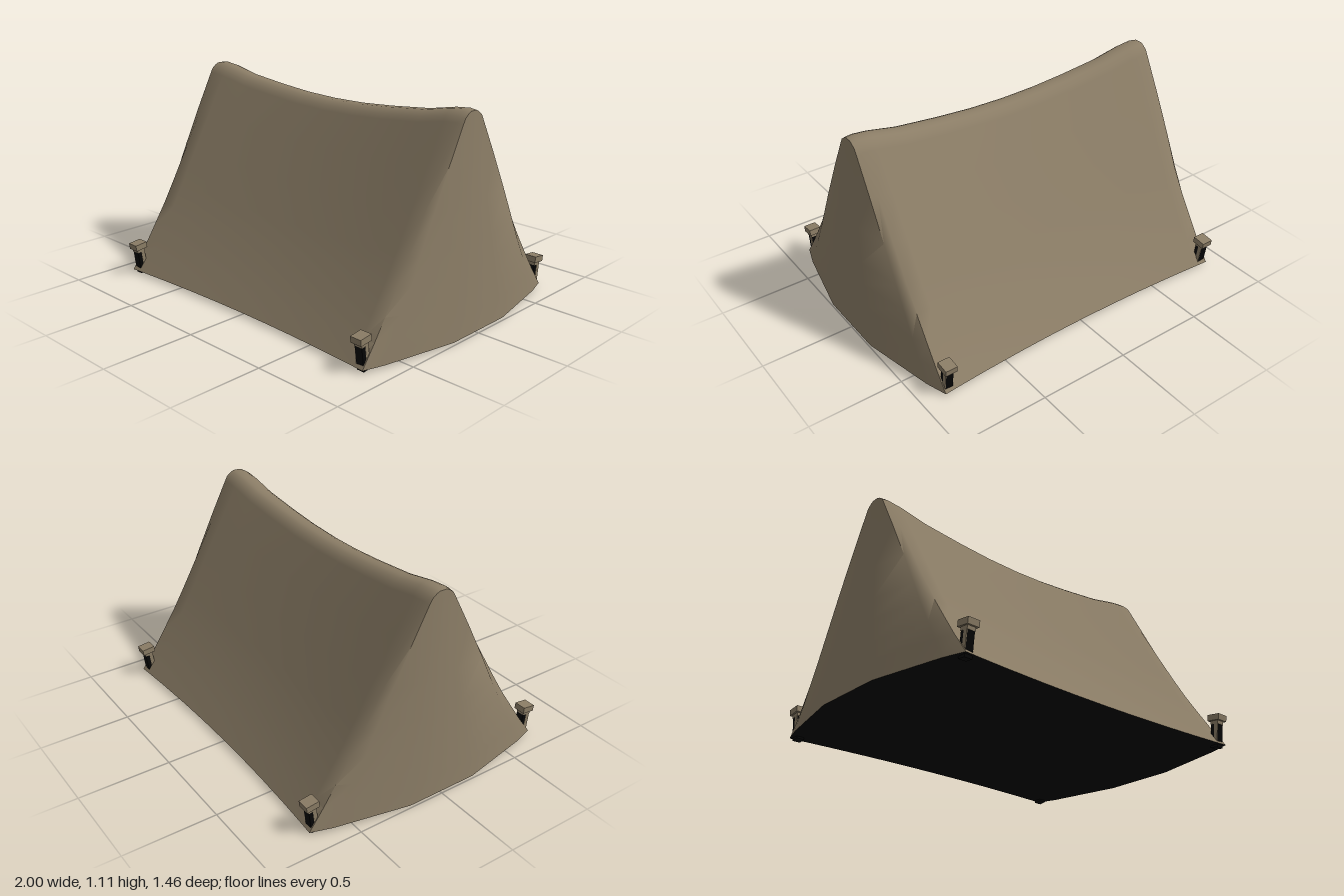
import * as THREE from 'three';
import { toCreasedNormals } from 'three/addons/utils/BufferGeometryUtils.js';

const canvas = new THREE.MeshStandardMaterial({ color: 0x8b7d66, side: THREE.DoubleSide });
canvas.name = 'tanCanvas';
const black = new THREE.MeshStandardMaterial({ color: 0x050505, side: THREE.DoubleSide });
black.name = 'black';

const GROUND = 0.02;
const END_X = 0.917;
const CORNER_X = 0.88;

// Levels from ground to ridge: [fraction of ridge height, half width at the corner]
const levels = [
  [0, 0.715], [0.1, 0.635], [0.195, 0.565], [0.31, 0.482], [0.42, 0.41], [0.595, 0.3],
  [0.78, 0.185], [0.95, 0.08], [0.975, 0.064], [0.993, 0.038], [1, 0.02], [1, 0],
];

// Sagging ridge, from the middle (x = 0) to the end
const ridgePoints = [[0, 1.03], [0.2, 1.035], [0.4, 1.05], [0.64, 1.075], [0.8, 1.107], [0.88, 1.115], [0.917, 1.11]];
function ridge(x) {
  const a = Math.min(Math.abs(x), END_X);
  for (let i = 1; i < ridgePoints.length; i++) {
    const [x0, y0] = ridgePoints[i - 1], [x1, y1] = ridgePoints[i];
    if (a <= x1) return y0 + (y1 - y0) * (a - x0) / (x1 - x0);
  }
  return 1.11;
}

// One closed outline of the tent at a level
function ring([f, w]) {
  const quarter = [0, 0.2, 0.4, 0.64, 0.8, CORNER_X].map(
    (x) => [x, w * (0.95 + 0.05 * (x / CORNER_X) ** 2)]);
  quarter.push([END_X, w * (0.84 + 0.14 * f)]);
  quarter.push([1 + (END_X - 1) * f, w * 0.28]);
  const mirrored = [...quarter].reverse();
  const half = [...quarter, ...mirrored.map(([x, z]) => [x, -z])];
  const other = half.slice(1, -1).reverse().map(([x, z]) => [-x, z]);
  return [...half, ...other].map(
    ([x, z]) => new THREE.Vector3(x, GROUND + f * (ridge(x) - GROUND), z));
}

function tentCover() {
  const rings = levels.map(ring);
  const pos = [];
  const triangle = (a, b, c) => {
    const area = new THREE.Triangle(a, b, c).getArea();
    if (area > 1e-7) for (const p of [a, b, c]) pos.push(p.x, p.y, p.z);
  };
  for (let i = 0; i < rings.length - 1; i++) {
    const n = rings[i].length;
    for (let j = 0; j < n; j++) {
      const k = (j + 1) % n;
      triangle(rings[i][j], rings[i][k], rings[i + 1][k]);
      triangle(rings[i][j], rings[i + 1][k], rings[i + 1][j]);
    }
  }
  const geo = new THREE.BufferGeometry();
  geo.setAttribute('position', new THREE.Float32BufferAttribute(pos, 3));
  return toCreasedNormals(geo, 1.1);
}

function mesh(name, geo, material, x = 0, y = 0, z = 0) {
  const m = new THREE.Mesh(geo, material);
  m.name = name;
  m.position.set(x, y, z);
  return m;
}

// Ground peg: square head on a leaning dark shaft with a tan strip on each side
function peg() {
  const g = new THREE.Group();
  g.name = 'tentPeg';
  g.add(mesh('pegHead', new THREE.BoxGeometry(0.066, 0.033, 0.072), canvas, 0, 0.165, 0));
  g.add(mesh('pegShaft', new THREE.BoxGeometry(0.043, 0.147, 0.043), black, 0, 0.077, 0));
  for (const s of [1, -1]) {
    g.add(mesh('pegStrip', new THREE.BoxGeometry(0.004, 0.13, 0.022), canvas, s * 0.0215, 0.085, -s * 0.0105));
  }
  g.add(mesh('pegNeck', new THREE.BoxGeometry(0.047, 0.02, 0.047), canvas, 0, 0.14, 0));
  return g;
}

export function createModel() {
  const model = new THREE.Group();
  model.name = 'tent';
  model.add(mesh('tentCover', tentCover(), canvas));

  // Dark groundsheet following the ground outline
  const outline = ring(levels[0]).map((p) => new THREE.Vector2(p.x, p.z));
  const floor = new THREE.ShapeGeometry(new THREE.Shape(outline));
  floor.rotateX(Math.PI / 2);
  model.add(mesh('groundsheet', floor, black, 0, GROUND, 0));

  // Four corner pegs, tops leaning outward
  for (const sx of [1, -1]) {
    for (const sz of [1, -1]) {
      const p = peg();
      p.position.set(sx * 0.852, 0.003, sz * 0.675);
      p.rotation.x = sz * 0.12;
      model.add(p);
    }
  }
  return model;
}
